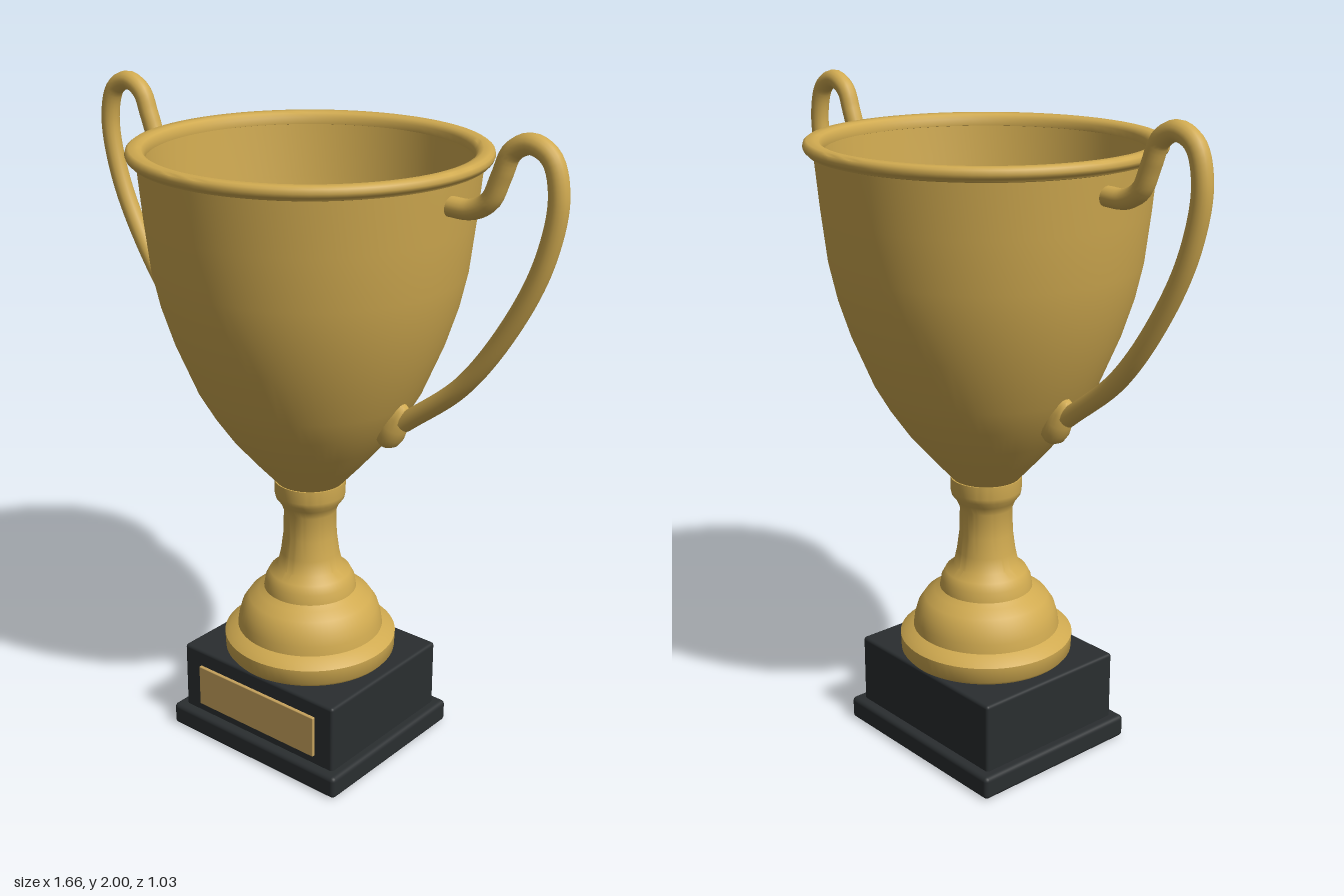
import * as THREE from 'three';
import { toCreasedNormals } from 'three/addons/utils/BufferGeometryUtils.js';
import { RoundedBoxGeometry } from 'three/addons/geometries/RoundedBoxGeometry.js';

const gold = new THREE.MeshStandardMaterial({ color: 0xd0aa50 });
const black = new THREE.MeshStandardMaterial({ color: 0x2a2e30 });
const brass = new THREE.MeshStandardMaterial({ color: 0xc6a25c });

function mesh(name, geometry, material) {
  const m = new THREE.Mesh(geometry, material);
  m.name = name;
  return m;
}

// Turned part from [radius, height] pairs, listed so the outside runs upwards
function turned(name, pairs, segments = 64) {
  const points = pairs.map(([r, y]) => new THREE.Vector2(r, y));
  const geometry = toCreasedNormals(new THREE.LatheGeometry(points, segments), 0.7);
  return mesh(name, geometry, gold);
}

function block(name, w, h, d, y, z, radius, material) {
  const m = mesh(name, new RoundedBoxGeometry(w, h, d, 3, radius), material);
  m.position.set(0, y + h / 2, z);
  return m;
}

function makeHandle(side) {
  const handle = new THREE.Group();
  handle.name = side > 0 ? 'leftHandle' : 'rightHandle';

  // Bent rod from below the rim, over the top and down to the bowl
  const path = [
    [0.475, 1.777], [0.545, 1.779], [0.6, 1.81], [0.632, 1.88], [0.66, 1.945], [0.715, 1.973],
    [0.775, 1.945], [0.803, 1.85], [0.775, 1.685], [0.69, 1.5], [0.54, 1.29], [0.345, 1.13],
  ].map(([x, y]) => new THREE.Vector3(side * x, y, 0));
  const curve = new THREE.CatmullRomCurve3(path, false, 'centripetal');
  handle.add(mesh('handleRod', new THREE.TubeGeometry(curve, 90, 0.028, 16), gold));

  // Teardrop ending
  const drop = turned('handleDrop', [
    [0, -0.068], [0.022, -0.062], [0.037, -0.045], [0.043, -0.02], [0.041, 0.01],
    [0.034, 0.045], [0.024, 0.072], [0.012, 0.083], [0, 0.086],
  ], 24);
  drop.position.set(side * 0.307, 1.107, 0);
  drop.rotation.z = -side * 0.45;
  handle.add(drop);
  return handle;
}

export function createModel() {
  const trophy = new THREE.Group();
  trophy.name = 'trophy';

  // Stepped base with name plate
  trophy.add(block('plinth', 0.66, 0.072, 0.575, 0, 0, 0.014, black));
  trophy.add(block('baseBlock', 0.6, 0.225, 0.514, 0.063, 0, 0.01, black));
  trophy.add(block('plaque', 0.465, 0.135, 0.02, 0.1, 0.257, 0.003, brass));

  // Foot and stem
  trophy.add(turned('stem', [
    [0, 0.286], [0.255, 0.286], [0.265, 0.298], [0.267, 0.345], [0.25, 0.36], [0.226, 0.372],
    [0.222, 0.4], [0.212, 0.435], [0.19, 0.468], [0.16, 0.487], [0.143, 0.5], [0.138, 0.53],
    [0.125, 0.555], [0.1, 0.575], [0.09, 0.62], [0.082, 0.68], [0.08, 0.76], [0.09, 0.785],
    [0.105, 0.805], [0.108, 0.82], [0.108, 0.86], [0, 0.86],
  ]));

  // Hollow bowl, outside up and inside down
  const outside = [
    [0.1, 0.856], [0.165, 0.928], [0.235, 1.01], [0.29, 1.09], [0.333, 1.165],
    [0.395, 1.315], [0.43, 1.425], [0.453, 1.53], [0.47, 1.68], [0.485, 1.845],
  ];
  const inside = outside.slice(1).reverse().map(([r, y]) => [r - 0.02, y + 0.004]);
  trophy.add(turned('bowl', [...outside, ...inside, [0.08, 0.88], [0, 0.875]], 72));

  // Rolled rim
  trophy.add(turned('rim', [
    [0.46, 1.84], [0.485, 1.834], [0.5, 1.838], [0.503, 1.844], [0.51, 1.848], [0.514, 1.858],
    [0.511, 1.87], [0.503, 1.876], [0.48, 1.876], [0.468, 1.872], [0.459, 1.86], [0.46, 1.84],
  ], 72));

  trophy.add(makeHandle(1), makeHandle(-1));
  return trophy;
}
